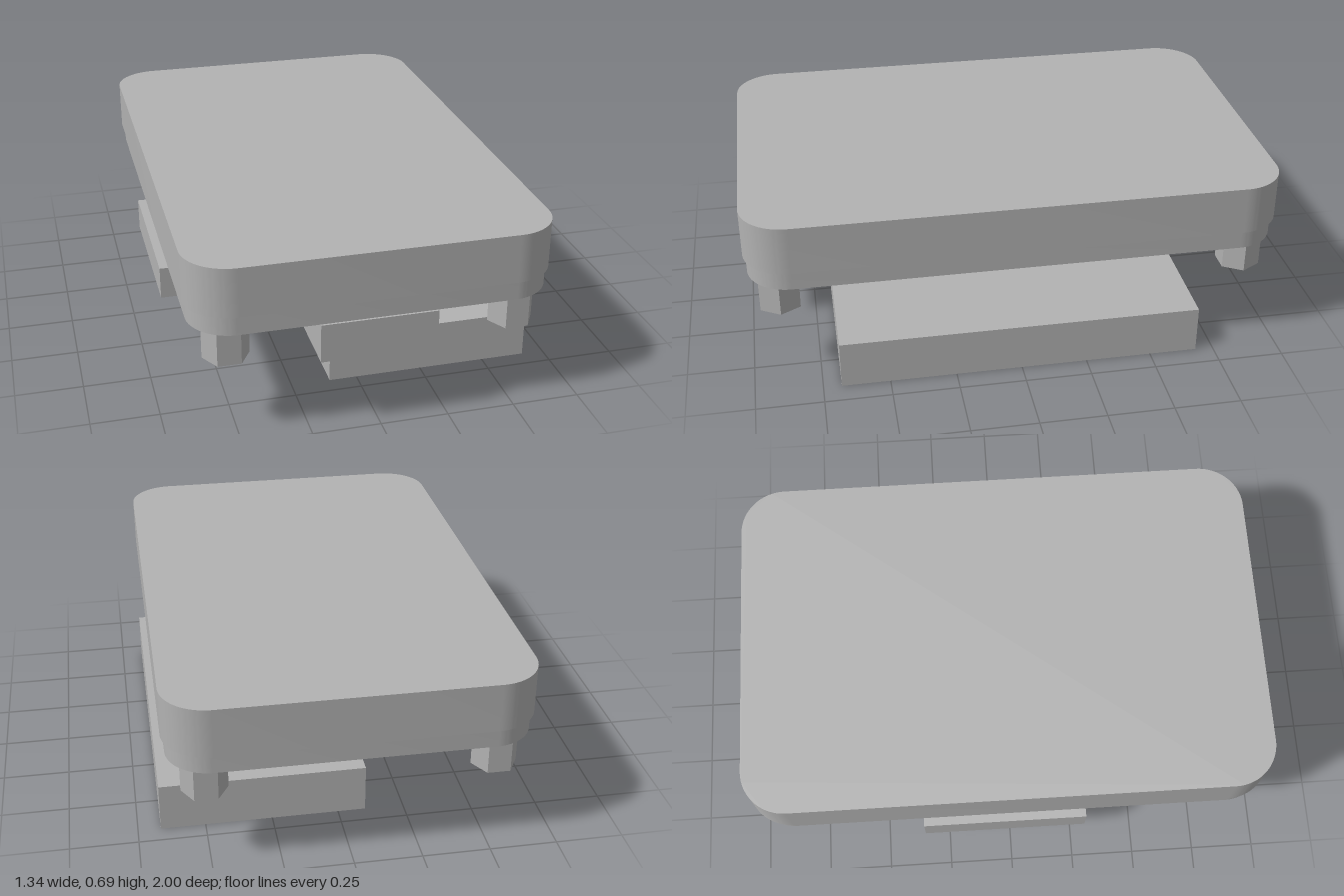
import * as THREE from 'three';
import { toCreasedNormals } from 'three/addons/utils/BufferGeometryUtils.js';

export function createModel() {
  const model = new THREE.Group();
  const grey = new THREE.MeshStandardMaterial({ color: 0xb2b2b2 });
  grey.name = 'grey';

  const add = (name, geometry, x, y, z) => {
    const mesh = new THREE.Mesh(geometry, grey);
    mesh.name = name;
    mesh.position.set(x, y, z);
    model.add(mesh);
  };

  // Extrude a plan shape upward, keeping hard edges crisp
  const extrudeUp = (shape, height) => {
    const g = new THREE.ExtrudeGeometry(shape, { depth: height, bevelEnabled: false, curveSegments: 16 });
    g.rotateX(-Math.PI / 2);
    return toCreasedNormals(g, 0.5);
  };

  // Rounded rectangle in plan
  const roundedRect = (w, d, r) => {
    const s = new THREE.Shape();
    const a = w / 2 - r, b = d / 2 - r;
    s.absarc(a, b, r, 0, Math.PI / 2);
    s.absarc(-a, b, r, Math.PI / 2, Math.PI);
    s.absarc(-a, -b, r, Math.PI, Math.PI * 1.5);
    s.absarc(a, -b, r, Math.PI * 1.5, Math.PI * 2);
    s.closePath();
    return s;
  };

  // Case: cover and slightly inset base
  add('cover', extrudeUp(roundedRect(1.322, 2, 0.17), 0.184), -0.008, 0.502, 0);
  add('base', extrudeUp(roundedRect(1.298, 1.974, 0.158), 0.072), -0.008, 0.43, 0.002);

  // Hexagonal standoffs with a round bore
  const hex = new THREE.Shape();
  for (let i = 0; i < 6; i++) {
    const t = i * Math.PI / 3;
    hex[i ? 'lineTo' : 'moveTo'](0.084 * Math.cos(t), 0.084 * Math.sin(t));
  }
  hex.closePath();
  const bore = new THREE.Path();
  bore.absarc(0, 0, 0.043, 0, Math.PI * 2, true);
  hex.holes.push(bore);
  const standoff = extrudeUp(hex, 0.136);
  for (const x of [-0.528, 0.511]) {
    for (const z of [0.88, -0.872]) add('standoff', standoff, x, 0.295, z);
  }

  // Rectangular components, given by their limits on each axis
  const box = (name, x0, x1, y0, y1, z0, z1) =>
    add(name, new THREE.BoxGeometry(x1 - x0, y1 - y0, z1 - z0),
      (x0 + x1) / 2, (y0 + y1) / 2, (z0 + z1) / 2);
  box('thinPlate', -0.44, 0.423, 0.385, 0.43, -0.725, 0.275);
  box('frontConnector', -0.22, 0.2, 0.285, 0.43, 0.612, 0.997);
  box('smallConnector', -0.25, 0.04, 0.271, 0.43, 0.343, 0.495);
  box('sideModule', -0.67, -0.09, 0.221, 0.346, -0.342, 0.296);
  box('battery', -0.104, 0.666, 0, 0.184, -0.682, 0.682);

  return model;
}
